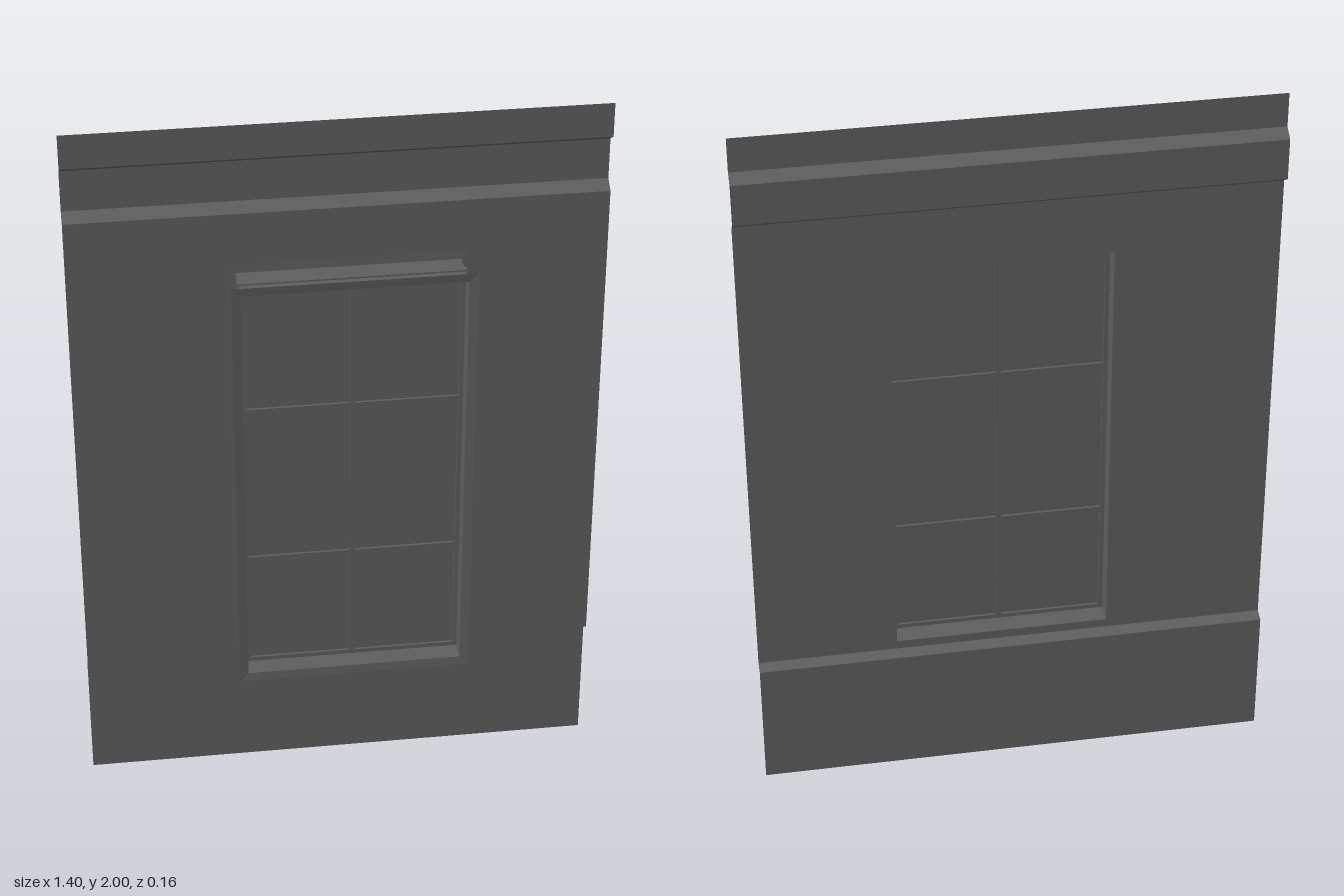
import * as THREE from 'three';

const material = new THREE.MeshStandardMaterial({ color: 0x5e5e5e, flatShading: true, side: THREE.DoubleSide });
const WALL = { half: 0.701, front: -0.048, back: -0.08 };
const OPEN = { left: -0.267, right: 0.318, bottom: 0.401, top: 1.584 };
const FLANGE = 0.024;
const SASH_Z = 0.016;
const BAR = 0.016;

function add(parent, name, geometry, x = 0, y = 0, z = 0) {
  const mesh = new THREE.Mesh(geometry, material);
  mesh.name = name;
  mesh.position.set(x, y, z);
  parent.add(mesh);
  return mesh;
}

// Joins cross-sections of equal length into a surface of quads
function loft(rows) {
  const n = rows[0].length;
  const index = [];
  for (let r = 0; r < rows.length - 1; r++) {
    for (let i = 0; i < n - 1; i++) {
      const a = r * n + i, b = a + n;
      index.push(a, a + 1, b, a + 1, b + 1, b);
    }
  }
  const geometry = new THREE.BufferGeometry();
  geometry.setAttribute('position', new THREE.Float32BufferAttribute(rows.flat(2), 3));
  geometry.setIndex(index);
  geometry.computeVertexNormals();
  return geometry;
}

// Rectangle around the opening, grown outward by a margin
function rectangle(margin, z) {
  const l = OPEN.left - margin, r = OPEN.right + margin;
  const b = OPEN.bottom - margin, t = OPEN.top + margin;
  return [[l, b, z], [r, b, z], [r, t, z], [l, t, z], [l, b, z]];
}

// Thin sheet running the full width, following [y, z] points
function wallStrip(points) {
  return loft(points.map(([y, z]) => [[-WALL.half, y, z], [WALL.half, y, z]]));
}

export function createModel() {
  const model = new THREE.Group();
  model.name = 'windowWall';

  // Main wall panel with the window opening
  const panel = new THREE.Shape();
  panel.moveTo(-WALL.half, 0.376).lineTo(WALL.half, 0.376).lineTo(WALL.half, 1.752).lineTo(-WALL.half, 1.752);
  panel.holes.push(new THREE.Path(rectangle(0, 0).reverse().slice(1).map(([x, y]) => new THREE.Vector2(x, y))));
  add(model, 'wallPanel', new THREE.ShapeGeometry(panel), 0, 0, WALL.front);

  // Set-back base and the stepped cornice above
  add(model, 'wallBase', wallStrip([[0, WALL.back], [0.367, WALL.back], [0.376, WALL.front]]));
  add(model, 'cornice', wallStrip([
    [1.752, WALL.front], [1.773, WALL.back], [1.886, WALL.back], [1.906, WALL.front], [2, WALL.front],
  ]));

  // Open casing with a narrow, slightly splayed flange at each end
  const casing = new THREE.Group();
  casing.name = 'windowCasing';
  model.add(casing);
  add(casing, 'jambs', loft([rectangle(0, -0.048), rectangle(0, 0.078)]));
  add(casing, 'frontFlange', loft([rectangle(0, 0.078), rectangle(FLANGE, 0.081)]));
  add(casing, 'backFlange', loft([rectangle(0, -0.045), rectangle(FLANGE, -0.0465)]));

  // Sash frame, glazing bars and glass; the frame bars stand a little proud of the casing
  const sash = new THREE.Group();
  sash.name = 'windowSash';
  model.add(sash);
  const width = OPEN.right - OPEN.left, height = OPEN.top - OPEN.bottom;
  const cx = (OPEN.left + OPEN.right) / 2, cy = (OPEN.bottom + OPEN.top) / 2;
  const edge = BAR / 2 - 0.004;
  for (const x of [OPEN.left + edge, cx, OPEN.right - edge]) {
    add(sash, 'verticalBar', new THREE.BoxGeometry(BAR, height + 0.011, BAR), x, cy, SASH_Z);
  }
  for (const y of [OPEN.bottom + edge, 0.739, 1.205, OPEN.top - edge]) {
    add(sash, 'horizontalBar', new THREE.BoxGeometry(width, BAR, BAR - 0.002), cx, y, SASH_Z);
  }
  add(sash, 'glass', new THREE.PlaneGeometry(width, height), cx, cy, SASH_Z);

  return model;
}
